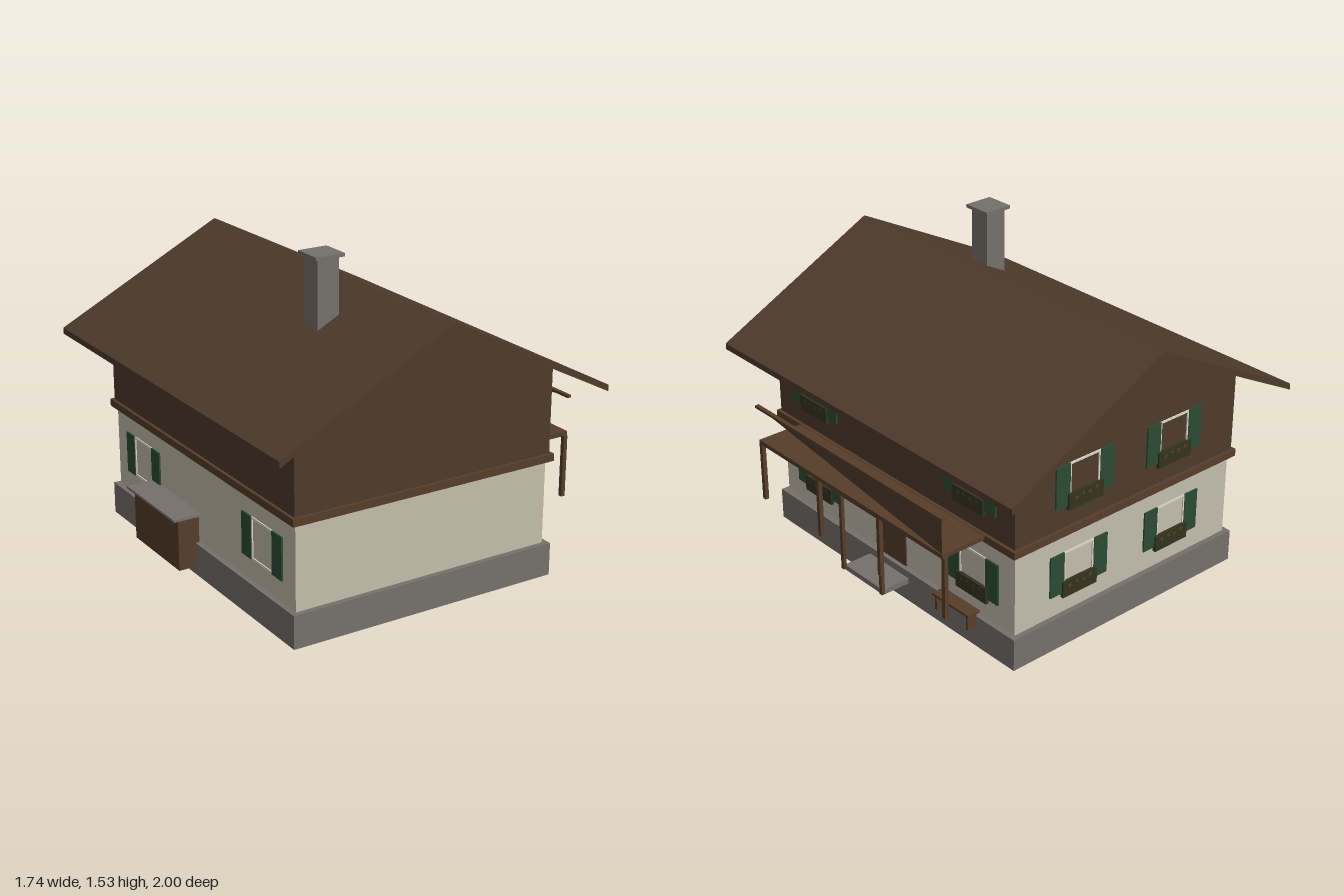
import * as THREE from 'three';

const mat = (name, color, side = THREE.FrontSide) => {
  const m = new THREE.MeshStandardMaterial({ color, side });
  m.name = name;
  return m;
};

export function createModel() {
  const stone = mat('stone grey', 0x75706c);
  const plaster = mat('cream plaster', 0xc4bdac);
  const timber = mat('dark timber', 0x4e3b2d);
  const beam = mat('beam brown', 0x573d2b);
  const railing = mat('railing brown', 0x4e3b2d, THREE.DoubleSide);
  const green = mat('shutter green', 0x2c4c32);
  const white = mat('frame cream', 0xdcd7c6);
  const olive = mat('planter olive', 0x34331f);

  const house = new THREE.Group();
  house.name = 'chalet';

  // Box given by its minimum and maximum on each axis
  const box = (name, m, x0, x1, y0, y1, z0, z1, parent = house) => {
    const mesh = new THREE.Mesh(new THREE.BoxGeometry(x1 - x0, y1 - y0, z1 - z0), m);
    mesh.position.set((x0 + x1) / 2, (y0 + y1) / 2, (z0 + z1) / 2);
    mesh.name = name;
    parent.add(mesh);
    return mesh;
  };
  // Front outline extruded symmetrically along z
  const prism = (name, m, points, depth) => {
    const shape = new THREE.Shape(points.map(([x, y]) => new THREE.Vector2(x, y)));
    const geo = new THREE.ExtrudeGeometry(shape, { depth, bevelEnabled: false });
    geo.translate(0, 0, -depth / 2);
    const mesh = new THREE.Mesh(geo, m);
    mesh.name = name;
    house.add(mesh);
  };

  // Main body
  box('plinth', stone, -0.715, 0.63, 0, 0.155, -0.843, 0.843);
  box('groundFloor', plaster, -0.69, 0.603, 0.155, 0.555, -0.817, 0.817);
  box('floorBelt', beam, -0.715, 0.63, 0.553, 0.588, -0.843, 0.843);
  prism('upperFloor', timber,
    [[-0.7, 0.58], [0.614, 0.58], [0.614, 0.988], [-0.043, 1.321], [-0.7, 0.988]], 1.656);
  prism('roof', timber,
    [[-0.043, 1.35], [-0.87, 0.928], [-0.87, 0.898], [-0.043, 1.32], [0.785, 0.898], [0.785, 0.928]], 2);

  // Chimney
  box('chimney', stone, -0.33, -0.223, 1.15, 1.515, 0.307, 0.413);
  box('chimneyCap', stone, -0.348, -0.205, 1.515, 1.53, 0.288, 0.432);

  // Window, built facing +z with its sill line at y = 0
  const addWindow = (x, y, z, turn, planter) => {
    const g = new THREE.Group();
    g.name = 'window';
    for (const s of [-1, 1]) {
      box('shutter', green, s * 0.127 - 0.04, s * 0.127 + 0.04, 0, 0.2, 0, 0.008, g);
      box('frameSide', white, s * 0.084 - 0.005, s * 0.084 + 0.005, 0, 0.2, 0, 0.005, g);
    }
    box('frameTop', white, -0.089, 0.089, 0.19, 0.2, 0, 0.005, g);
    box('frameSill', white, -0.089, 0.089, 0, 0.01, 0, 0.005, g);
    if (planter) {
      box('planter', olive, -0.1, 0.1, -0.022, 0.055, 0, 0.016, g);
      // Small blossoms on the upper half of the planter
      for (let i = 0; i < 4; i++) {
        const bloom = new THREE.Mesh(new THREE.CircleGeometry(0.014, 3), beam);
        bloom.name = 'blossom';
        bloom.position.set(-0.06 + i * 0.04, 0.03 + (i % 2) * 0.008, 0.0175);
        bloom.rotation.z = i * 1.3;
        g.add(bloom);
      }
    }
    g.position.set(x, y, z);
    g.rotation.y = turn;
    house.add(g);
  };
  for (const s of [-1, 1]) {
    addWindow(0.603, 0.257, s * 0.55, Math.PI / 2, true);
    addWindow(0.614, 0.693, s * 0.545, Math.PI / 2, true);
    addWindow(-0.69, 0.257, s * 0.55, -Math.PI / 2, false);
    addWindow(-0.043 + s * 0.282, 0.257, -0.817, Math.PI, true);
    addWindow(-0.043 + s * 0.268, 0.693, -0.828, Math.PI, true);
  }

  // Entrance with porch
  box('door', beam, 0.603, 0.61, 0.155, 0.468, -0.093, 0.1);
  box('doorStep', stone, 0.62, 0.775, 0.095, 0.12, -0.135, 0.145);
  box('porchRoof', beam, 0.603, 0.8, 0.502, 0.515, -0.148, 0.157);
  for (const z of [-0.137, 0.143]) {
    box('porchPost', beam, 0.773, 0.79, 0.105, 0.505, z - 0.009, z + 0.009);
  }

  // Balcony with hanging posts, top rail and slanted screen
  box('balconyFloor', beam, 0.61, 0.858, 0.565, 0.586, -0.655, 0.655);
  box('balconyRail', beam, 0.845, 0.865, 0.75, 0.762, -0.663, 0.663);
  for (const z of [-0.652, -0.215, 0.22, 0.655]) {
    box('balconyPost', beam, 0.833, 0.853, 0.27, 0.568, z - 0.01, z + 0.01);
  }
  const screen = new THREE.BufferGeometry();
  screen.setAttribute('position', new THREE.Float32BufferAttribute(
    [0.855, 0.755, 0.65, 0.855, 0.586, -0.65, 0.855, 0.755, -0.65], 3));
  screen.computeVertexNormals();
  const screenMesh = new THREE.Mesh(screen, railing);
  screenMesh.name = 'balconyScreen';
  house.add(screenMesh);

  // Bench beside the door
  box('benchSeat', beam, 0.62, 0.687, 0.176, 0.187, -0.612, -0.372);
  for (const z of [-0.388, -0.596]) {
    box('benchLeg', beam, 0.63, 0.68, 0.105, 0.177, z - 0.006, z + 0.006);
  }

  // Wood store on the other side
  box('woodStore', beam, -0.8, -0.695, 0.038, 0.277, -0.44, -0.01);
  box('woodStoreRoof', stone, -0.83, -0.69, 0.287, 0.298, -0.46, 0.01);

  return house;
}
